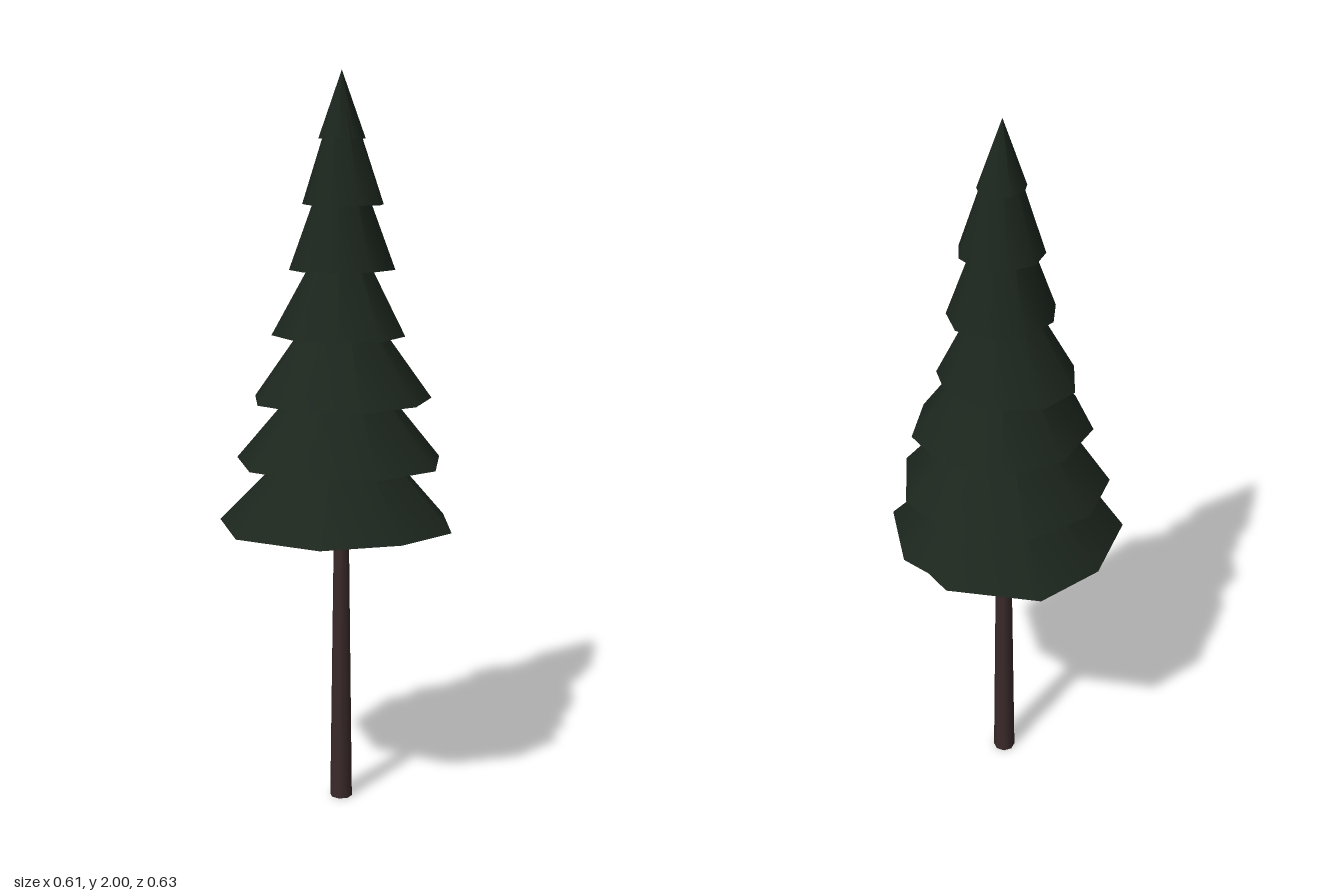
import * as THREE from 'three';

const CX = -0.007, CZ = -0.033; // trunk axis
const HOLLOW = 0.09;            // how far each underside rises to the trunk

// Small seeded generator for the uneven branch rims
function seeded(seed) {
  return () => {
    seed = (seed * 16807) % 2147483647;
    return seed / 2147483647;
  };
}

// Uneven polygon stretched to exactly fill the given x and z ranges
function makeRim(sides, degrees, [x0, x1, z0, z1], random) {
  const pts = [];
  for (let i = 0; i < sides; i++) {
    const turn = (i + (random() - 0.5) * 0.12) / sides;
    const a = THREE.MathUtils.degToRad(degrees) + turn * Math.PI * 2;
    const r = 0.97 + random() * 0.06;
    pts.push([Math.sin(a) * r, Math.cos(a) * r]);
  }
  const fit = (k, lo, hi) => {
    const v = pts.map((p) => p[k]);
    const min = Math.min(...v), max = Math.max(...v);
    pts.forEach((p) => { p[k] = lo + ((p[k] - min) / (max - min)) * (hi - lo); });
  };
  fit(0, x0, x1);
  fit(1, z0, z1);
  return pts;
}

// Open cone from an uneven rim up to a point on the trunk axis
function makeCone(rim, baseY, apexY) {
  const n = rim.length;
  const geo = new THREE.ConeGeometry(1, 1, n, 1, true);
  const pos = geo.attributes.position, nor = geo.attributes.normal;
  const h = apexY - baseY;
  for (let i = 0; i <= n; i++) {
    const [x, z] = rim[i % n];
    const dx = x - CX, dz = z - CZ, r = Math.hypot(dx, dz);
    const normal = new THREE.Vector3((dx / r) * h, r, (dz / r) * h).normalize();
    pos.setXYZ(i, CX, apexY, CZ);
    pos.setXYZ(n + 1 + i, x, baseY, z);
    nor.setXYZ(i, normal.x, normal.y, normal.z);
    nor.setXYZ(n + 1 + i, normal.x, normal.y, normal.z);
  }
  return geo;
}

export function createModel() {
  const group = new THREE.Group();
  group.name = 'pineTree';
  const needles = new THREE.MeshStandardMaterial({ color: 0x1c261d, side: THREE.DoubleSide });
  needles.name = 'darkGreenNeedles';
  const bark = new THREE.MeshStandardMaterial({ color: 0x3b2a2a });
  bark.name = 'brownBark';

  // Slim tapered trunk, ending inside the lowest branches
  const trunk = new THREE.Mesh(new THREE.CylinderGeometry(0.019, 0.031, 0.92, 8), bark);
  trunk.name = 'trunk';
  trunk.position.set(CX, 0.46, CZ);
  group.add(trunk);

  // Wide lowest rim, with a shallow dent at the back
  const lowestRim = [
    [0.007, 0.314], [0.23, 0.202], [0.305, -0.003], [0.279, -0.188], [0.091, -0.311],
    [0, -0.303], [-0.086, -0.318], [-0.291, -0.171], [-0.308, 0.027], [-0.211, 0.23],
  ];

  // Upper tiers: base height, apex height, turn in degrees, [min x, max x, min z, max z]
  const tiers = [
    [0.97, 1.31, 37, [-0.278, 0.27, -0.303, 0.26]],
    [1.14, 1.48, 30, [-0.225, 0.231, -0.263, 0.222]],
    [1.31, 1.65, 12, [-0.204, 0.178, -0.21, 0.143]],
    [1.485, 1.87, 12, [-0.135, 0.128, -0.18, 0.11]],
    [1.655, 1.99, 34, [-0.114, 0.104, -0.143, 0.07]],
    [1.825, 2.0, 10, [-0.063, 0.049, -0.101, 0.028]],
  ];

  // Each tier is an outer cone and a shallow hollow underside sharing one rim
  const addTier = (rim, baseY, apexY, name) => {
    const tier = new THREE.Group();
    tier.name = name;
    const outer = new THREE.Mesh(makeCone(rim, baseY, apexY), needles);
    outer.name = 'branchTop';
    const under = new THREE.Mesh(makeCone(rim, baseY, baseY + HOLLOW), needles);
    under.name = 'branchUnderside';
    tier.add(outer, under);
    group.add(tier);
  };
  addTier(lowestRim, 0.8, 1.14, 'branchTier1');
  const random = seeded(77);
  tiers.forEach(([baseY, apexY, turn, range], i) => {
    addTier(makeRim(9, turn, range, random), baseY, apexY, `branchTier${i + 2}`);
  });

  return group;
}
